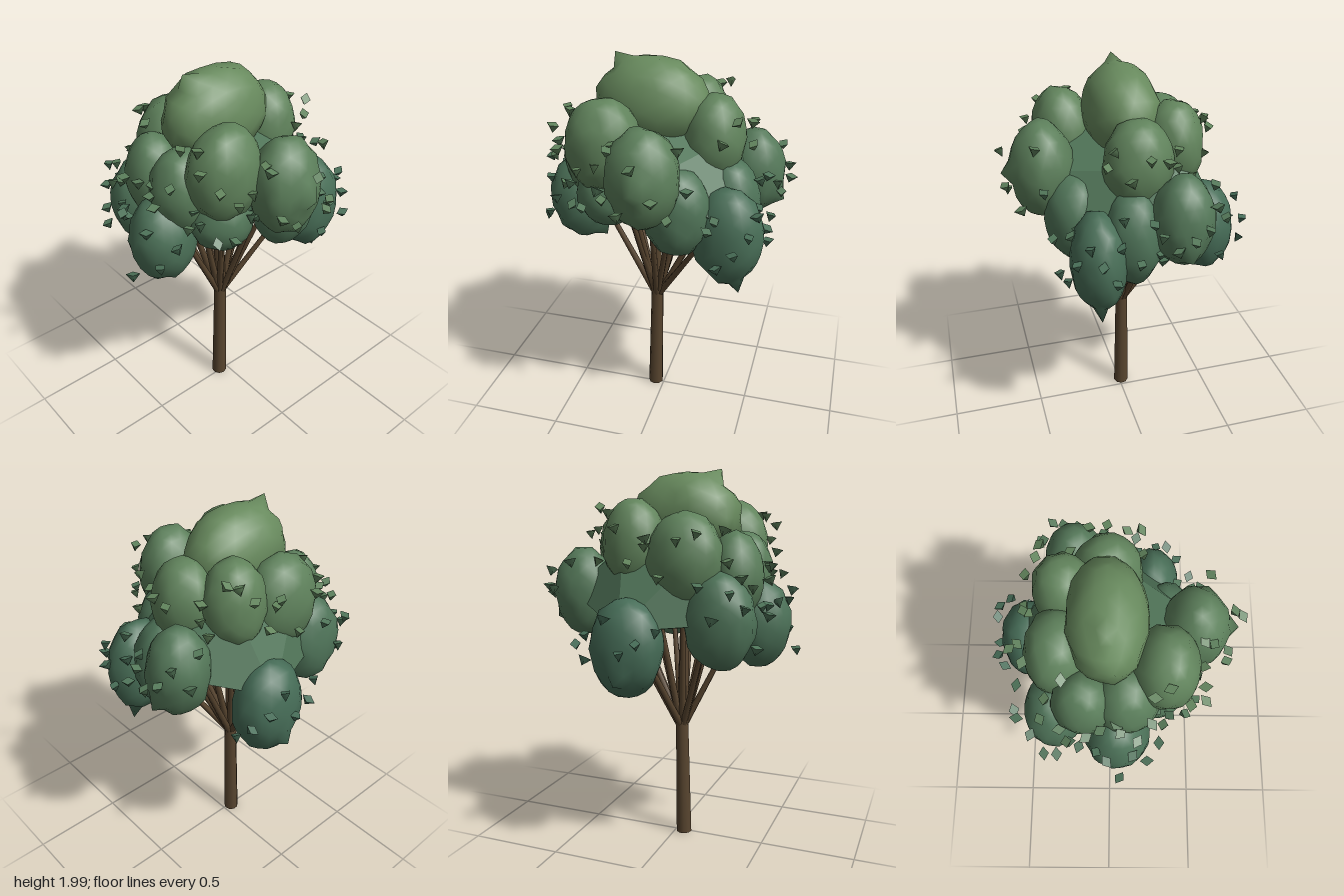
import * as THREE from 'three';
import { mergeVertices } from 'three/addons/utils/BufferGeometryUtils.js';
import { ConvexGeometry } from 'three/addons/geometries/ConvexGeometry.js';

// Small seeded random generator
let seed = 7;
function rand() {
  seed = (seed * 16807) % 2147483647;
  return seed / 2147483647;
}

const V = (x, y, z) => new THREE.Vector3(x, y, z);
const bark = new THREE.MeshStandardMaterial({ color: 0x58452f });
const LOW = new THREE.Color(0x446b57), HIGH = new THREE.Color(0x6a8c5e);

// Foliage gets lighter and warmer towards the top
function foliage(y) {
  const t = THREE.MathUtils.clamp((y - 1.1) / 0.7, 0, 1);
  return new THREE.MeshStandardMaterial({ color: LOW.clone().lerp(HIGH, t) });
}

// Leaf clumps: centre, half sizes, optional direction of one sharp corner
const CLUMPS = [
  { c: [-0.06, 1.75, -0.01], r: [0.29, 0.23, 0.19], spike: [-0.62, 0.95, 0.1] },
  { c: [0.01, 1.51, 0.41], r: [0.18, 0.25, 0.16], spike: [0, -0.1, 1] },
  { c: [-0.23, 1.6, 0.26], r: [0.19, 0.24, 0.16] },
  { c: [0.14, 1.3, 0.28], r: [0.17, 0.23, 0.15] },
  { c: [0.39, 1.17, 0.22], r: [0.18, 0.26, 0.14], spike: [0.2, -1, 0.1] },
  { c: [0.45, 1.37, -0.18], r: [0.16, 0.23, 0.15], spike: [1, -0.5, 0] },
  { c: [0.1, 1.13, -0.42], r: [0.19, 0.25, 0.15], spike: [0, -0.5, -1] },
  { c: [-0.33, 1.26, -0.27], r: [0.18, 0.24, 0.15] },
  { c: [-0.44, 1.22, 0.04], r: [0.17, 0.23, 0.16], spike: [0.7, -0.9, 0.3] },
  { c: [-0.14, 1.55, -0.24], r: [0.2, 0.24, 0.16] },
  { c: [0.14, 1.62, -0.22], r: [0.16, 0.23, 0.15] },
  { c: [0.26, 1.59, -0.01], r: [0.16, 0.23, 0.17] },
  { c: [-0.36, 1.47, -0.12], r: [0.14, 0.22, 0.15] },
  { c: [-0.34, 1.47, 0.08], r: [0.16, 0.22, 0.16] },
  { c: [0.36, 1.26, 0.04], r: [0.16, 0.25, 0.15] },
  { c: [-0.22, 1.34, 0.22], r: [0.17, 0.17, 0.16] },
];

// Slightly uneven rounded ball with one optional pulled-out corner
function clumpGeometry({ r, spike }) {
  let geo = new THREE.IcosahedronGeometry(1, 3);
  geo.deleteAttribute('uv');
  geo.deleteAttribute('normal');
  geo = mergeVertices(geo, 1e-4);
  const p = geo.attributes.position, v = V(0, 0, 0);
  const dir = spike && V(...spike).normalize();
  let best = -1, bestDot = -2;
  for (let i = 0; i < p.count; i++) {
    v.fromBufferAttribute(p, i);
    if (dir && v.dot(dir) > bestDot) { bestDot = v.dot(dir); best = i; }
    v.multiplyScalar(0.96 + rand() * 0.08);
    p.setXYZ(i, v.x, v.y, v.z);
  }
  if (best >= 0) {
    v.fromBufferAttribute(p, best).multiplyScalar(1.25);
    p.setXYZ(best, v.x, v.y, v.z);
  }
  geo.scale(...r);
  geo.computeVertexNormals();
  return geo;
}

// Tapered round limb between two points
function limb(name, a, b, r0, r1, sides) {
  const mesh = new THREE.Mesh(new THREE.CylinderGeometry(r1, r0, a.distanceTo(b), sides), bark);
  mesh.name = name;
  mesh.position.copy(a).lerp(b, 0.5);
  mesh.quaternion.setFromUnitVectors(V(0, 1, 0), b.clone().sub(a).normalize());
  return mesh;
}

export function createModel() {
  seed = 7;
  const tree = new THREE.Group();
  tree.name = 'tree';

  // Trunk and the central stem above the fork
  const fork = V(-0.037, 0.66, -0.01);
  tree.add(limb('trunk', V(-0.05, 0, -0.01), fork, 0.042, 0.034, 9));
  tree.add(limb('centralStem', fork, V(-0.06, 1.6, 0), 0.032, 0.024, 8));

  const crown = new THREE.Group();
  crown.name = 'crown';
  const branches = new THREE.Group();
  branches.name = 'branches';
  const leaves = new THREE.Group();
  leaves.name = 'looseLeaves';
  tree.add(branches, crown, leaves);

  // Inner foliage joining the clumps with flat sheets
  const corePoints = CLUMPS.map(({ c, r }) => {
    const out = V(c[0], 0, c[2]).normalize();
    return V(c[0], Math.max(c[1], 1.22), c[2]).addScaledVector(out, 0.45 * Math.min(r[0], r[2]));
  });
  const core = new THREE.Mesh(new ConvexGeometry(corePoints), foliage(1.3));
  core.name = 'innerFoliage';
  crown.add(core);

  const leafGeo = new THREE.ConeGeometry(0.035, 0.045, 4).rotateX(Math.PI);

  CLUMPS.forEach((clump, i) => {
    const c = V(...clump.c), r = V(...clump.r);
    const mat = foliage(c.y);

    // Leaf clump
    const mesh = new THREE.Mesh(clumpGeometry(clump), mat);
    mesh.name = 'leafClump';
    mesh.position.copy(c);
    crown.add(mesh);

    // The top clump sits on the central stem and carries no loose leaves
    if (i === 0) return;

    // Branch from the fork into the inner side of the clump
    const start = fork.clone().add(V(c.x * 0.04, -0.02, c.z * 0.04));
    branches.add(limb('branch', start, V(c.x * 0.78, c.y, c.z * 0.78), 0.019, 0.012, 6));

    // Small folded leaves hovering on the outer side
    const out = Math.atan2(c.z, c.x);
    for (let k = 0; k < 7; k++) {
      const a = out + (k / 6 - 0.5) * 2.4;
      const h = (rand() - 0.45) * 1.1;
      const w = Math.sqrt(1 - h * h);
      const d = V(Math.cos(a) * w, h, Math.sin(a) * w);
      const leaf = new THREE.Mesh(leafGeo, mat);
      leaf.name = 'leaf';
      leaf.position.copy(d).multiply(r).multiplyScalar(1.05).add(c).addScaledVector(d, rand() * 0.06);
      leaf.rotation.set((rand() - 0.5) * 0.8, rand() * 6.28, (rand() - 0.5) * 0.8);
      leaf.scale.set(1, 1, 0.75);
      leaves.add(leaf);
    }
  });

  return tree;
}
